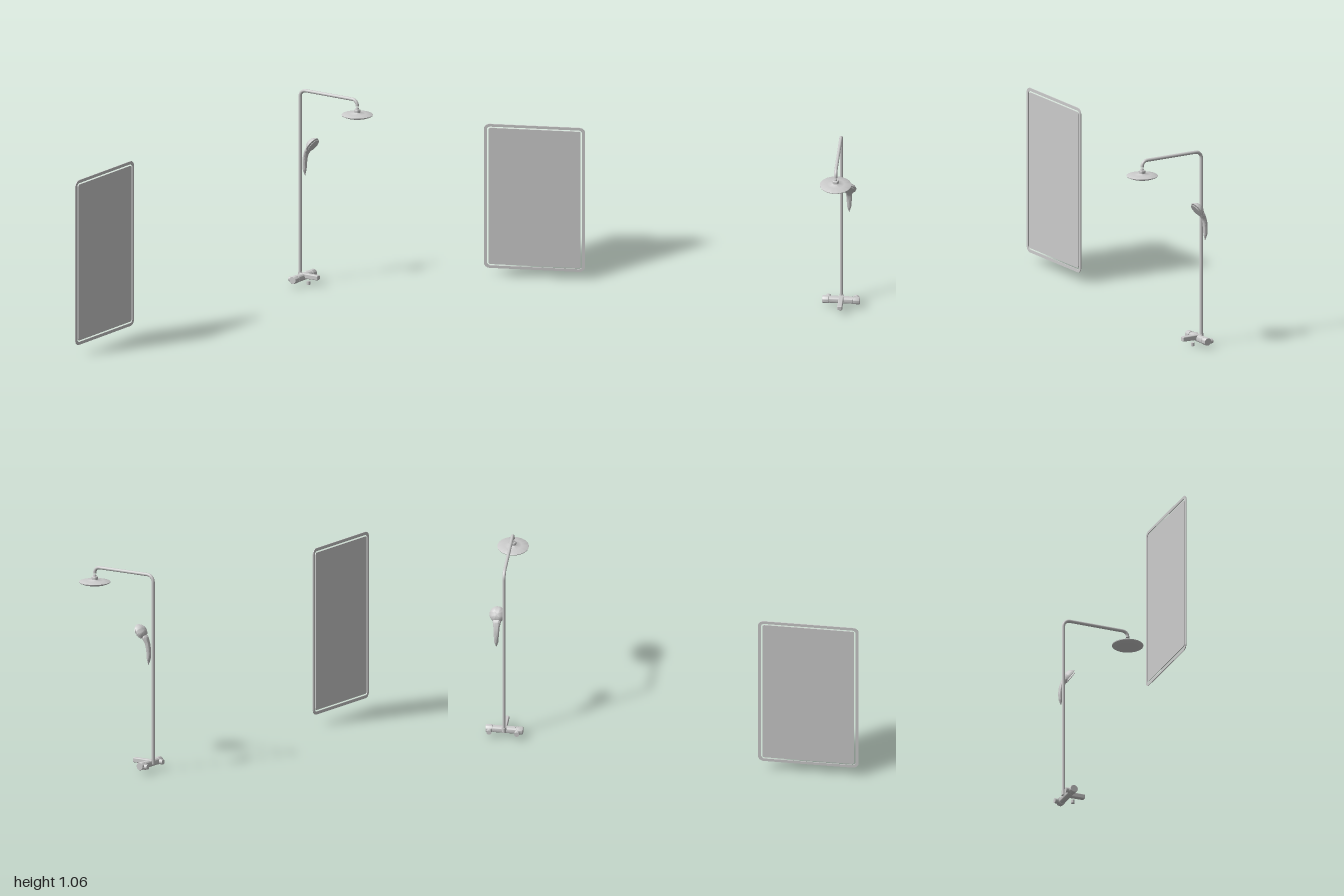
import * as THREE from 'three';
import { toCreasedNormals } from 'three/addons/utils/BufferGeometryUtils.js';
import { RoundedBoxGeometry } from 'three/addons/geometries/RoundedBoxGeometry.js';

const material = new THREE.MeshStandardMaterial({ color: 0xcccccc, side: THREE.DoubleSide });
const V = (x, y, z = 0) => new THREE.Vector3(x, y, z);

function part(name, geometry, x = 0, y = 0, z = 0) {
  const mesh = new THREE.Mesh(geometry, material);
  mesh.name = name;
  mesh.position.set(x, y, z);
  return mesh;
}

// Surface of revolution about y with crisp edges
function lathe(profile, segments = 48) {
  const pts = profile.map(([r, y]) => new THREE.Vector2(r, y));
  return toCreasedNormals(new THREE.LatheGeometry(pts, segments), 0.6);
}

function roundedRect(w, h, r, Type = THREE.Shape) {
  const s = new Type();
  const x = w / 2, y = h / 2;
  s.absarc(x - r, y - r, r, 0, Math.PI / 2);
  s.absarc(-x + r, y - r, r, Math.PI / 2, Math.PI);
  s.absarc(-x + r, -y + r, r, Math.PI, Math.PI * 1.5);
  s.absarc(x - r, -y + r, r, Math.PI * 1.5, Math.PI * 2);
  s.closePath();
  return s;
}

function extrude(shape, depth) {
  return new THREE.ExtrudeGeometry(shape, { depth, bevelEnabled: false, curveSegments: 10 })
    .translate(0, 0, -depth / 2);
}

// Tube whose rings are scaled to [in-plane, z] radii along its length
function taperedTube(points, radii, segments = 40, sides = 24) {
  const curve = new THREE.CatmullRomCurve3(points);
  const geometry = new THREE.TubeGeometry(curve, segments, 1, sides);
  const pos = geometry.attributes.position;
  const v = V(0, 0);
  for (let i = 0; i <= segments; i++) {
    const t = i / segments, centre = curve.getPointAt(t);
    const f = t * (radii.length - 1), k = Math.min(Math.floor(f), radii.length - 2);
    const a = THREE.MathUtils.lerp(radii[k][0], radii[k + 1][0], f - k);
    const b = THREE.MathUtils.lerp(radii[k][1], radii[k + 1][1], f - k);
    for (let j = 0; j <= sides; j++) {
      const n = i * (sides + 1) + j;
      v.fromBufferAttribute(pos, n).sub(centre);
      pos.setXYZ(n, centre.x + v.x * a, centre.y + v.y * a, centre.z + v.z * b);
    }
  }
  return toCreasedNormals(geometry, 0.7);
}

function createMirror() {
  const group = new THREE.Group();
  group.name = 'mirror';
  const w = 0.535, h = 0.898;
  const frame = roundedRect(w, h, 0.032);
  frame.holes.push(roundedRect(w - 0.032, h - 0.032, 0.018, THREE.Path));
  group.add(part('mirrorFrame', extrude(frame, 0.004)));
  group.add(part('mirrorPanel', extrude(roundedRect(w - 0.048, h - 0.048, 0.012), 0.004)));
  group.rotation.y = Math.PI / 2;
  group.position.set(-0.28, 0.506, 0.732);
  return group;
}

// Riser pipe that bends into the overhead arm
function createPipe() {
  const x0 = -0.169, x1 = 0.199, top = 1.056, r = 0.036, e = 0.03;
  const path = new THREE.CurvePath();
  const bend = (cx, cy, rad, from) => {
    const pts = [];
    for (let i = 0; i <= 8; i++) {
      const a = from - (i / 8) * Math.PI / 2;
      pts.push(V(cx + rad * Math.cos(a), cy + rad * Math.sin(a)));
    }
    return new THREE.CatmullRomCurve3(pts);
  };
  path.add(new THREE.LineCurve3(V(x0, 0.05), V(x0, top - r)));
  path.add(bend(x0 + r, top - r, r, Math.PI));
  path.add(new THREE.LineCurve3(V(x0 + r, top), V(x1 - e, top)));
  path.add(bend(x1 - e, top - e, e, Math.PI / 2));
  path.add(new THREE.LineCurve3(V(x1, top - e), V(x1, 1.022)));
  const group = new THREE.Group();
  group.name = 'riserPipe';
  group.add(part('pipe', new THREE.TubeGeometry(path, 260, 0.0088, 20)));
  group.add(part('pipeEnd', new THREE.CircleGeometry(0.0088, 20).rotateX(Math.PI / 2), x1, 1.022));
  return group;
}

function createHandShower() {
  const group = new THREE.Group();
  group.name = 'handShower';
  group.add(part('handle', taperedTube(
    [V(-0.166, 0.58), V(-0.168, 0.605), V(-0.168, 0.65), V(-0.162, 0.69), V(-0.148, 0.722), V(-0.128, 0.75)],
    [[0.001, 0.001], [0.01, 0.011], [0.0125, 0.013], [0.0125, 0.015], [0.0125, 0.017], [0.015, 0.022], [0.004, 0.012]])));
  // Domed head and separate spray plate, facing out and down
  const head = new THREE.Group();
  head.name = 'handShowerHead';
  head.add(part('headShell', lathe([[0, -0.028], [0.012, -0.027], [0.024, -0.022], [0.034, -0.014],
    [0.041, -0.004], [0.0425, 0], [0.04, 0.002], [0, 0.002]])));
  head.add(part('sprayPlate', lathe([[0, 0.007], [0.038, 0.007], [0.039, 0.009], [0.037, 0.011], [0, 0.012]])));
  head.position.set(-0.119, 0.755, 0);
  head.quaternion.setFromUnitVectors(V(0, 1), V(0.83, -0.555).normalize());
  group.add(head);
  group.position.z = -0.041;
  return group;
}

function createMixer() {
  const group = new THREE.Group();
  group.name = 'mixer';
  // Body along z with a grooved control knob at each end
  const half = [[0.0195, 0], [0.0195, 0.06], [0.0175, 0.061], [0.0175, 0.064], [0.021, 0.065], [0.021, 0.096], [0.019, 0.099], [0, 0.099]];
  const profile = [...half.map(([r, y]) => [r, -y]).reverse(), ...half.slice(1)];
  group.add(part('mixerBody', lathe(profile).rotateX(Math.PI / 2), -0.149, 0.04));
  for (const z of [-0.078, 0.07]) {
    group.add(part('wallInlet', new THREE.CylinderGeometry(0.0135, 0.0135, 0.036, 24).rotateZ(Math.PI / 2),
      -0.169, 0.037, z));
  }
  group.add(part('riserCollar', new THREE.CylinderGeometry(0.0105, 0.0105, 0.026, 24), -0.169, 0.05));
  // Spout, slightly tapered underneath toward its tip
  const spout = new RoundedBoxGeometry(0.12, 0.027, 0.026, 3, 0.005);
  const pos = spout.attributes.position;
  for (let i = 0; i < pos.count; i++) {
    if (pos.getY(i) < 0) pos.setY(i, pos.getY(i) + 0.02 * pos.getX(i));
  }
  group.add(part('spout', spout, -0.109, 0.047));
  group.add(part('hoseOutlet', new THREE.CylinderGeometry(0.0095, 0.0095, 0.018, 24), -0.115, 0.01));
  return group;
}

export function createModel() {
  const model = new THREE.Group();
  model.name = 'showerAndMirror';
  model.add(createMirror());

  const shower = new THREE.Group();
  shower.name = 'showerColumn';
  shower.position.z = -0.9;
  shower.add(createPipe(), createHandShower(), createMixer());
  // Overhead rain head with its swivel neck
  shower.add(part('rainHead', lathe([[0, 0.957], [0.03, 0.959], [0.06, 0.964], [0.074, 0.969], [0.082, 0.973],
    [0.083, 0.977], [0.08, 0.979], [0.045, 0.983], [0.02, 0.986], [0.0165, 0.989], [0.0165, 1.003],
    [0.014, 1.006], [0.008, 1.006], [0.0085, 1.012], [0.007, 1.016], [0, 1.016]], 56), 0.199));
  model.add(shower);
  return model;
}
